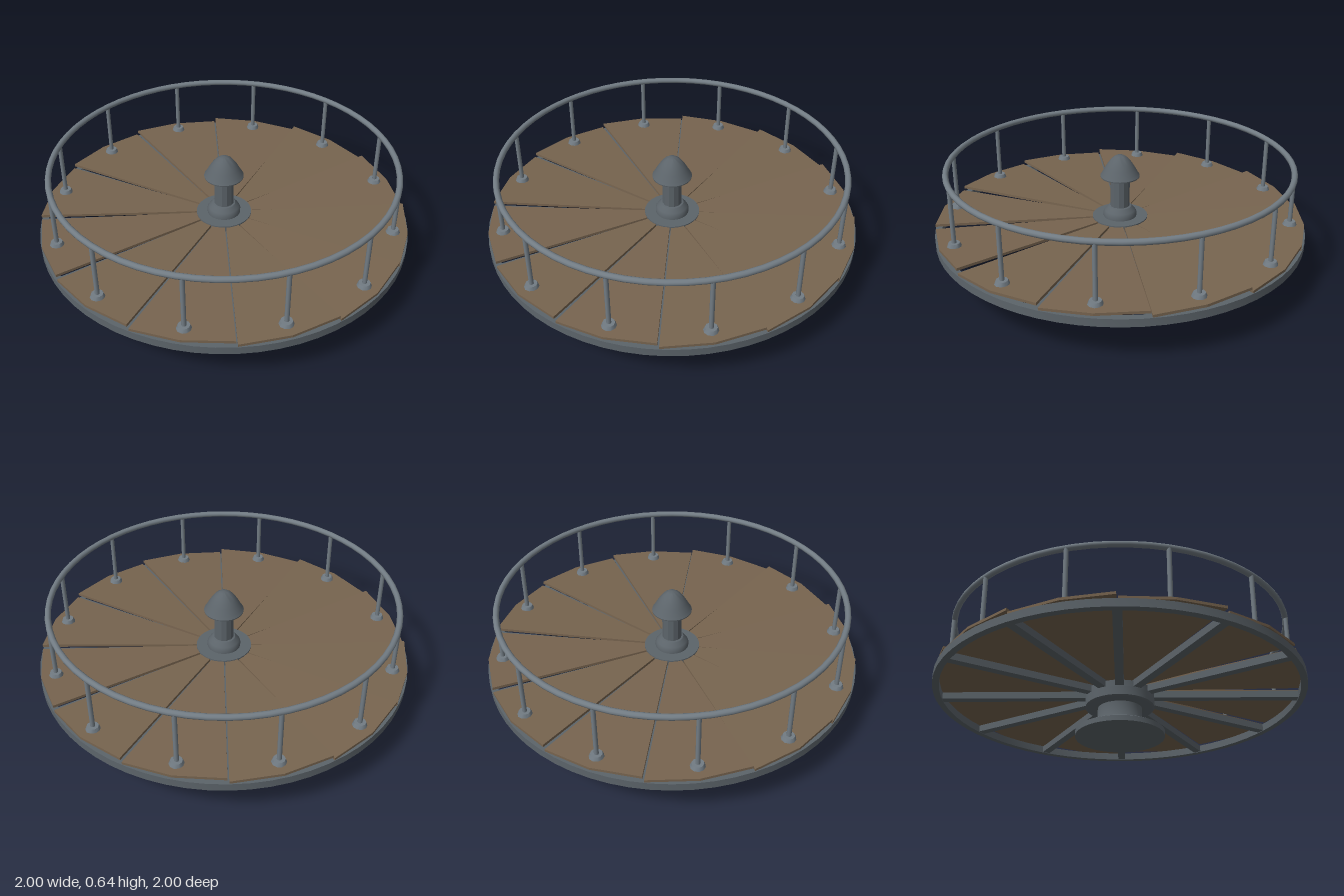
import * as THREE from 'three';
import { toCreasedNormals } from 'three/addons/utils/BufferGeometryUtils.js';

const wood = new THREE.MeshStandardMaterial({ color: 0x77644f });
wood.name = 'wood';
const darkMetal = new THREE.MeshStandardMaterial({ color: 0x5c646a });
darkMetal.name = 'dark metal';
const railMetal = new THREE.MeshStandardMaterial({ color: 0x727c84 });
railMetal.name = 'rail metal';

const COUNT = 12;
const STEP = (Math.PI * 2) / COUNT;

function add(parent, name, geometry, material) {
  const mesh = new THREE.Mesh(geometry, material);
  mesh.name = name;
  parent.add(mesh);
  return mesh;
}

// Turned part from [radius, height] pairs, listed bottom to top
function turned(profile, segments = 32) {
  const points = profile.map(([r, y]) => new THREE.Vector2(r, y));
  return toCreasedNormals(new THREE.LatheGeometry(points, segments), 0.6);
}

// Wedge of the deck, lying flat and pointing to +z
function wedgeGeometry(thickness) {
  const half = STEP / 2;
  const gap = 0.004;
  const outer = 0.997;
  const inner = 0.1;
  const corner = (r, side) => [side * (r * Math.sin(half) - gap), -r * Math.cos(half)];
  const shape = new THREE.Shape();
  shape.moveTo(...corner(inner, -1));
  shape.lineTo(...corner(inner, 1));
  shape.lineTo(...corner(outer, 1));
  shape.lineTo(0, -outer);
  shape.lineTo(...corner(outer, -1));
  shape.closePath();
  const geometry = new THREE.ExtrudeGeometry(shape, { depth: thickness, bevelEnabled: false });
  geometry.rotateX(-Math.PI / 2);
  geometry.translate(0, -thickness / 2, 0);
  return geometry;
}

export function createModel() {
  const model = new THREE.Group();
  model.name = 'merryGoRound';

  // Fixed base and bearing below the deck
  add(model, 'base', turned([
    [0, 0], [0.24, 0], [0.24, 0.028], [0.225, 0.036], [0.16, 0.044], [0.135, 0.055],
    [0.12, 0.08], [0.12, 0.16], [0.175, 0.16], [0.187, 0.168], [0.187, 0.215], [0, 0.215],
  ]), darkMetal);

  // Hub that joins the spokes and covers the wedge tips
  add(model, 'hub', turned([
    [0, 0.215], [0.187, 0.215], [0.187, 0.25], [0.15, 0.255], [0.15, 0.288], [0, 0.288],
  ]), darkMetal);

  // Centre post with collar and domed cap
  add(model, 'collar', turned([
    [0.09, 0.285], [0.09, 0.308], [0.082, 0.322], [0.062, 0.345], [0.05, 0.348],
  ]), darkMetal);
  const column = add(model, 'centrePost', toCreasedNormals(
    new THREE.CylinderGeometry(0.053, 0.053, 0.2, 12), 0.3), darkMetal);
  column.position.y = 0.435;
  add(model, 'cap', turned([
    [0, 0.53], [0.053, 0.528], [0.105, 0.517], [0.106, 0.523], [0.095, 0.54], [0.08, 0.568],
    [0.065, 0.592], [0.045, 0.618], [0.024, 0.634], [0, 0.639],
  ]), darkMetal);

  // Outer rim band
  add(model, 'rim', turned([
    [0.965, 0.215], [1, 0.215], [1, 0.257], [0.965, 0.257], [0.965, 0.215],
  ], 64), darkMetal);

  // Slightly tilted deck wedges, spokes below their joints, and rail posts
  const wedge = wedgeGeometry(0.014);
  const spoke = new THREE.BoxGeometry(0.045, 0.038, 0.82);
  const post = new THREE.CylinderGeometry(0.012, 0.012, 0.305, 10);
  const foot = toCreasedNormals(new THREE.CylinderGeometry(0.03, 0.038, 0.02, 10), 0.7);
  for (let i = 0; i < COUNT; i++) {
    const sector = new THREE.Group();
    sector.name = 'sector';
    sector.rotation.y = i * STEP;
    model.add(sector);

    const plank = add(sector, 'deckWedge', wedge, wood);
    plank.position.y = 0.275;
    plank.rotation.z = 0.045;

    add(sector, 'railPost', post, railMetal).position.set(0, 0.44, 0.918);
    add(sector, 'postFoot', foot, railMetal).position.set(0, 0.292, 0.918);

    const arm = new THREE.Group();
    arm.name = 'spokeArm';
    arm.rotation.y = STEP / 2;
    sector.add(arm);
    add(arm, 'spoke', spoke, darkMetal).position.set(0, 0.237, 0.565);
  }

  // Hand rail
  const rail = add(model, 'handRail', new THREE.TorusGeometry(0.916, 0.016, 10, 64), railMetal);
  rail.rotation.x = Math.PI / 2;
  rail.position.y = 0.594;

  return model;
}
